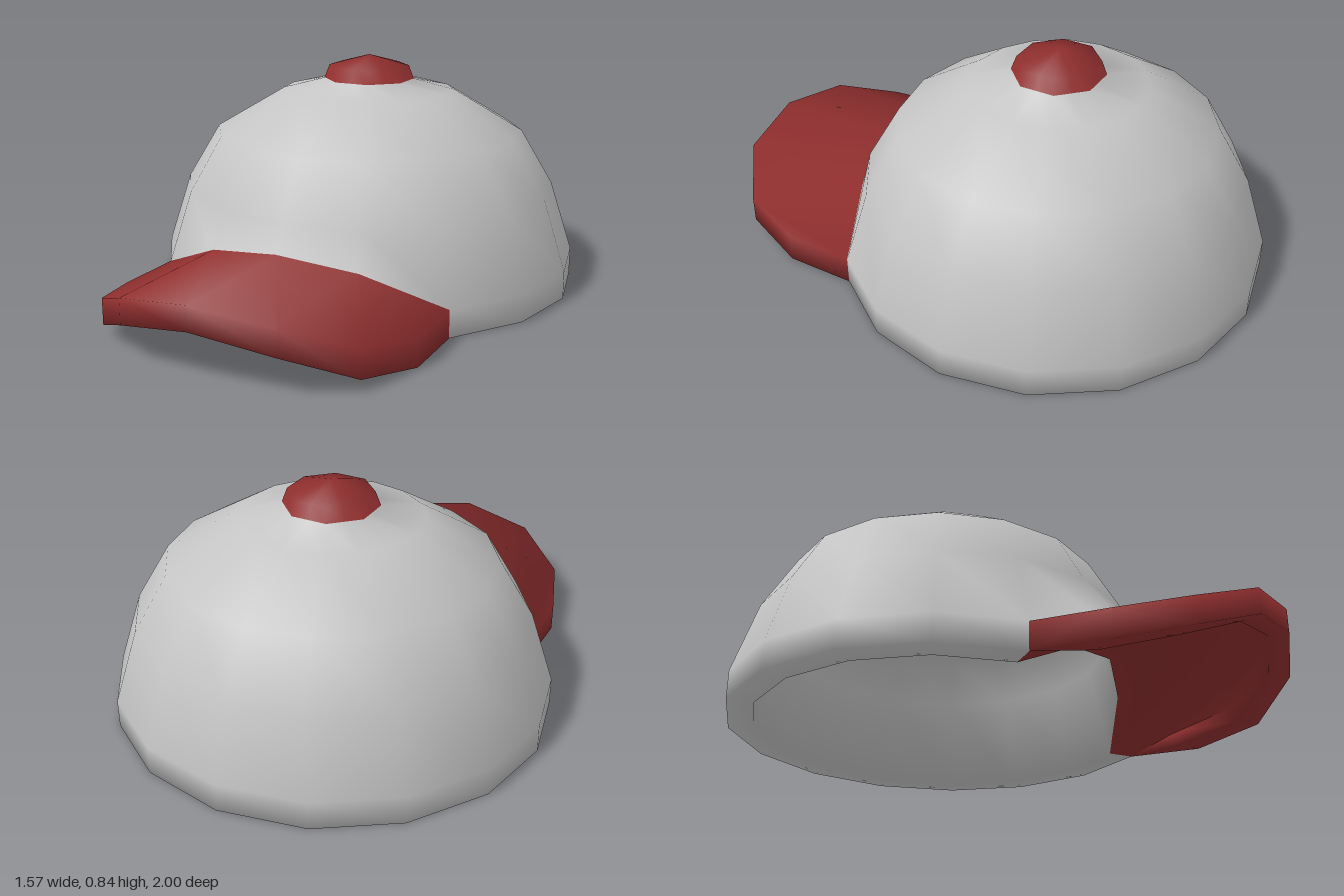
import * as THREE from 'three';
import { mergeVertices } from 'three/addons/utils/BufferGeometryUtils.js';

const SIDES = 16, CENTER_Z = -0.24, DEPTH = 0.97;

// ring point; the hem rises into an arch over the face, the button is octagonal
function ringPoint([r, y, kind], k) {
  const step = Math.min(k, SIDES - k);
  if (kind === 'octagon') {
    if (k % 2 === 0) r *= Math.cos(Math.PI / 8);
  } else if (kind && step < 2) {
    r *= 0.94;
    y = (kind === 'top' ? [0.26, 0.22] : [0.175, 0.13])[step];
  }
  const a = (k / SIDES) * Math.PI * 2;
  return [Math.sin(a) * r, y, Math.cos(a) * r * DEPTH + CENTER_Z];
}

const HEM_TOP = [0.785, 0.1, 'top'];
const HEM_OUTER = [0.785, 0, 'bottom'];
const HEM_INNER = [0.69, 0, 'bottom'];

// button and crown shell: down the outside, under the hem, up the lining
function addCrown(points, button, crown) {
  const rings = [
    [0, 0.84], [0.15, 0.8, 'octagon'], [0.169, 0.75, 'octagon'],
    [0.325, 0.71], [0.58, 0.56], [0.7, 0.36],
    HEM_TOP, HEM_OUTER, HEM_INNER,
    [0.605, 0.315], [0.495, 0.48], [0.27, 0.61], [0, 0.65],
  ];
  const end = rings.length - 1;
  rings.forEach((ring, r) => {
    const index = r < 2 ? button : crown;
    for (let k = 0; k < SIDES; k++) {
      points.push(ringPoint(ring, k));
      // the brim closes the hem across the front
      const covered = (k < 2 || k >= SIDES - 2) && (r === 6 || r === 7);
      if (r === end || covered) continue;
      const n = (k + 1) % SIDES;
      const a = r * SIDES + k, b = a + SIDES, d = r * SIDES + n, c = d + SIDES;
      if (r > 0) index.push(a, c, d);
      if (r < end - 1) index.push(a, b, c);
    }
  });
}

// arched brim with a turned-down lip: a section swept from right to left
function addBrim(points, brim) {
  // front edge: x, z, top height, bottom height, hem corner it joins
  const half = [
    [0.555, 0.56, 0.1, 0, 2],
    [0.475, 0.8, 0.135, 0.04, 2],
    [0.28, 0.955, 0.22, 0.13, 1],
    [0, 1, 0.26, 0.175, 0],
  ];
  const columns = [
    ...half.map(([x, ...rest]) => [-x, ...rest]),
    ...half.slice(0, 3).reverse(),
  ];
  const base = points.length, N = 7;
  columns.forEach(([x, z, top, bottom, corner], i) => {
    const k = x < 0 ? SIDES - corner : corner;
    points.push(
      ringPoint(HEM_TOP, k), [x, top, z], [x, bottom, z],
      [x * 0.88, bottom, z - 0.07], [x * 0.87, bottom + 0.05, z - 0.09],
      ringPoint(HEM_OUTER, k), ringPoint(HEM_INNER, k),
    );
    if (i === columns.length - 1) return;
    for (let j = 0; j < N - 1; j++) {
      const a = base + i * N + j, b = a + 1;
      brim.push(a, b, b + N, a, b + N, a + N);
    }
  });
  // side ends, fanned from the outer hem corner
  const last = base + (columns.length - 1) * N;
  for (let j = 0; j < 4; j++) {
    brim.push(base + 5, base + j + 1, base + j, last + 5, last + j, last + j + 1);
  }
}

// smooth normals weighted by corner angle, so narrow lips round off evenly
function smoothNormals(g) {
  const position = g.attributes.position, index = g.index.array;
  const sums = Array.from({ length: position.count }, () => new THREE.Vector3());
  for (let i = 0; i < index.length; i += 3) {
    const ids = [0, 1, 2].map((j) => index[i + j]);
    const p = ids.map((id) => new THREE.Vector3().fromBufferAttribute(position, id));
    const normal = p[1].clone().sub(p[0]).cross(p[2].clone().sub(p[0]));
    if (normal.length() < 1e-7) continue;
    normal.normalize();
    ids.forEach((id, j) => {
      const u = p[(j + 1) % 3].clone().sub(p[j]), v = p[(j + 2) % 3].clone().sub(p[j]);
      sums[id].addScaledVector(normal, u.angleTo(v));
    });
  }
  const normals = sums.flatMap((s) => s.normalize().toArray());
  g.setAttribute('normal', new THREE.Float32BufferAttribute(normals, 3));
}

export function createModel() {
  const grey = new THREE.MeshStandardMaterial({ color: 0xc4c4c4 });
  grey.name = 'grey cloth';
  const red = new THREE.MeshStandardMaterial({ color: 0x8f2e2e });
  red.name = 'red cloth';

  // crown, button and brim share one smooth skin
  const points = [], button = [], crown = [], brim = [];
  addCrown(points, button, crown);
  addBrim(points, brim);
  const skin = new THREE.BufferGeometry();
  skin.setAttribute('position', new THREE.Float32BufferAttribute(points.flat(), 3));
  skin.setIndex([...crown, ...button, ...brim]);
  const geometry = mergeVertices(skin, 1e-4);
  smoothNormals(geometry);
  geometry.clearGroups();
  geometry.addGroup(0, crown.length, 0);
  geometry.addGroup(crown.length, button.length + brim.length, 1);

  const cap = new THREE.Mesh(geometry, [grey, red]);
  cap.name = 'crown with button and brim';
  const model = new THREE.Group();
  model.name = 'cap';
  model.add(cap);
  return model;
}
